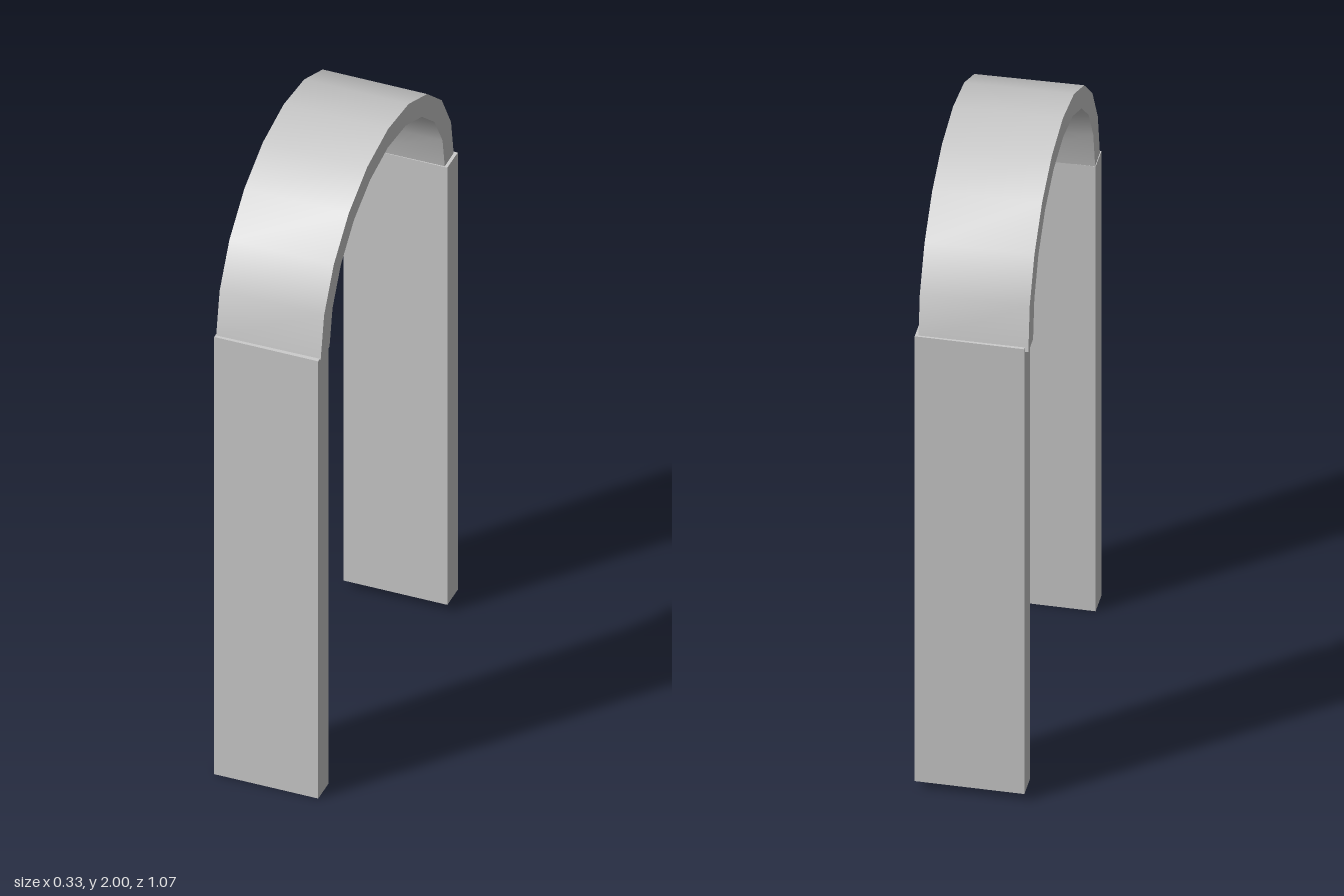
import * as THREE from 'three';
import { toCreasedNormals } from 'three/addons/utils/BufferGeometryUtils.js';

const WIDTH = 0.32;

// Half-ellipse points from angle 0 to PI, in straight steps
function halfEllipse(rx, ry, steps) {
  return Array.from({ length: steps + 1 }, (_, i) => {
    const a = (i / steps) * Math.PI;
    return new THREE.Vector2(rx * Math.cos(a), ry * Math.sin(a));
  });
}

export function createModel() {
  const group = new THREE.Group();
  group.name = 'archway';
  const material = new THREE.MeshStandardMaterial({ color: 0xcccccc });

  // Straight legs; the back one sits slightly higher
  const legs = [
    ['frontLeg', 0.493, 0],
    ['backLeg', -0.493, 0.025],
  ];
  for (const [name, z, base] of legs) {
    const leg = new THREE.Mesh(new THREE.BoxGeometry(WIDTH, 1.535, 0.08), material);
    leg.name = name;
    leg.position.set(0, base + 1.535 / 2, z);
    group.add(leg);
  }

  // Curved top: a band between two half ellipses, smooth along the curve
  const outline = [
    ...halfEllipse(0.525, 0.46, 10),
    ...halfEllipse(0.455, 0.395, 10).reverse(),
  ];
  const band = new THREE.ExtrudeGeometry(new THREE.Shape(outline), {
    depth: WIDTH,
    bevelEnabled: false,
  });
  band.translate(0, 0, -WIDTH / 2);
  band.rotateY(Math.PI / 2);
  const arch = new THREE.Mesh(toCreasedNormals(band, 0.6), material);
  arch.name = 'arch';
  arch.position.set(-0.004, 1.539, -0.003);
  arch.rotation.set(0.012, 0.012, -0.01); // set very slightly askew on the legs
  group.add(arch);

  return group;
}
